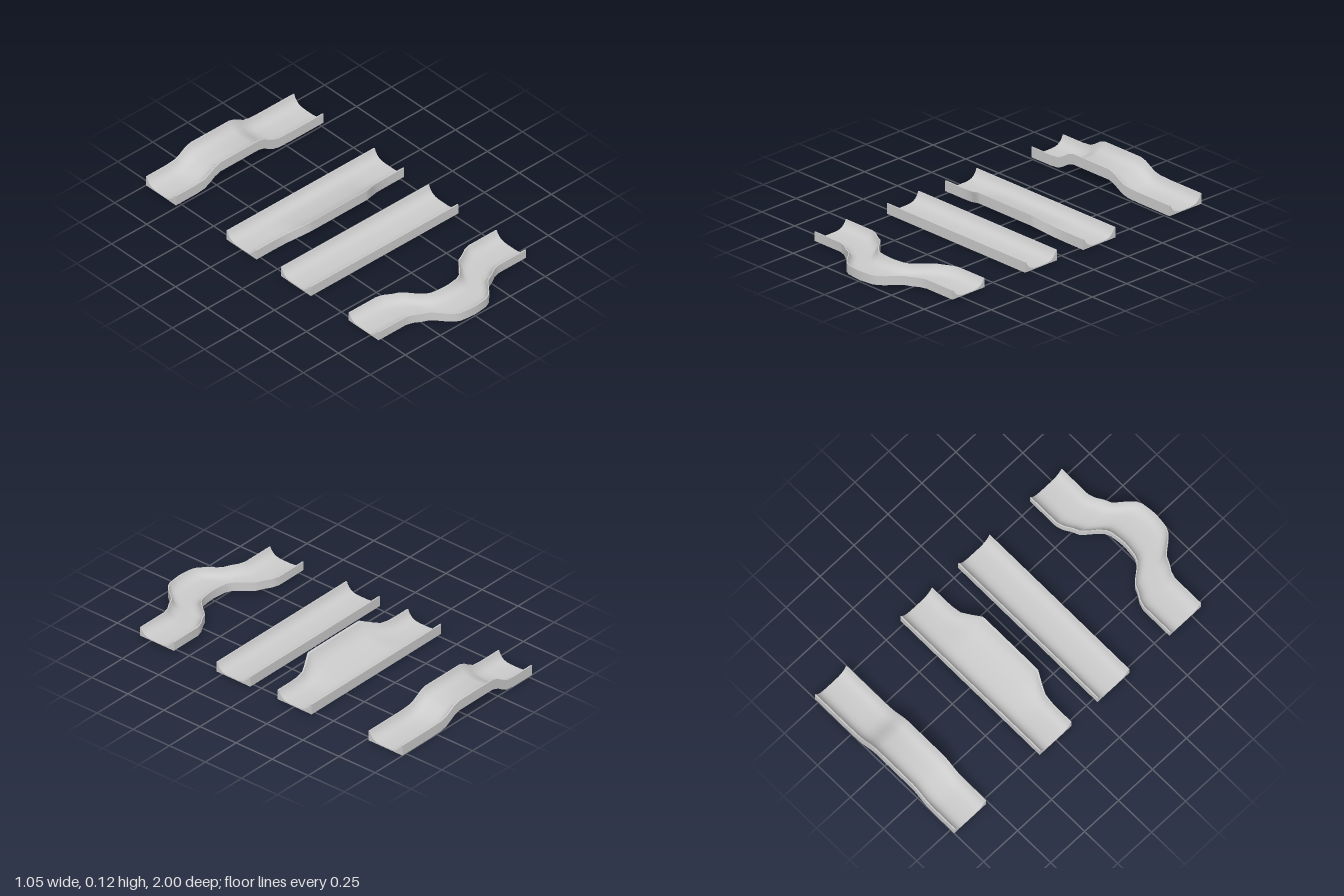
import * as THREE from 'three';
import { toCreasedNormals } from 'three/addons/utils/BufferGeometryUtils.js';

const HALF = 0.527, WIDTH = 0.235;

// trough cross-section from the back rim: distance from rim, height
const halfBowl = [[0, 0.06], [0.007, 0.06], [0.014, 0.043], [0.026, 0.027], [0.042, 0.015], [0.06, 0.009], [0.085, 0.006]];
const bowl = [...halfBowl, ...halfBowl.map(([u, y]) => [WIDTH - u, y]).reverse()];

// piecewise linear value through [x, value] keys
function along(keys, x) {
  if (x <= keys[0][0]) return keys[0][1];
  for (let i = 1; i < keys.length; i++) {
    const [x0, v0] = keys[i - 1], [x1, v1] = keys[i];
    if (x <= x1) return v0 + (v1 - v0) * (x - x0) / (x1 - x0);
  }
  return keys[keys.length - 1][1];
}

const mirrored = keys => [...keys, ...keys.filter(k => k[0] !== 0).map(([x, v]) => [-x, v]).reverse()];

// sweeps the bowl along x; bend(f, u, y, isBottom) returns [z, y]
function trough(name, backZ, keys, bend) {
  const stations = [-HALF, ...keys.map(k => k[0]), HALF];
  const n = bowl.length;
  const rings = stations.map(x => {
    const f = along(keys, x);
    const point = (u, y, isBottom) => {
      const [z, h] = bend(f, u, y, isBottom);
      return [x, h, backZ + z];
    };
    const top = bowl.map(([u, y]) => point(u, y, false));
    const bottom = bowl.map(([u]) => point(u, 0, true)).reverse();
    return [...top, ...bottom];
  });
  const pos = [];
  const quad = (a, b, c, d) => pos.push(...a, ...b, ...c, ...a, ...c, ...d);
  for (let s = 0; s + 1 < rings.length; s++) {
    const A = rings[s], B = rings[s + 1];
    for (let i = 0; i < 2 * n; i++) {
      const j = (i + 1) % (2 * n);
      quad(A[i], A[j], B[j], B[i]);
    }
  }
  // end caps
  const first = rings[0], last = rings[rings.length - 1];
  for (let i = 0; i + 1 < n; i++) {
    const k = 2 * n - 1 - i;
    quad(last[i], last[i + 1], last[k - 1], last[k]);
    quad(first[k], first[k - 1], first[i + 1], first[i]);
  }
  const geo = new THREE.BufferGeometry();
  geo.setAttribute('position', new THREE.Float32BufferAttribute(pos, 3));
  const mesh = new THREE.Mesh(
    toCreasedNormals(geo, 0.7),
    new THREE.MeshStandardMaterial({ color: 0xcccccc, side: THREE.DoubleSide })
  );
  mesh.name = name;
  return mesh;
}

export function createModel() {
  const group = new THREE.Group();
  group.name = 'troughTrackSet';

  // sideways swerve, slightly shallower than the others
  const swerve = mirrored([[-0.33, 0], [-0.29, 0.012], [-0.25, 0.037], [-0.21, 0.055], [-0.19, 0.075],
    [-0.15, 0.125], [-0.12, 0.154], [-0.09, 0.168], [-0.04, 0.175], [0, 0.178]]);
  group.add(trough('swervingTrough', 0.585, swerve,
    (f, u, y) => [u + f, 0.008 + y * 0.87]));

  // plain straight piece
  group.add(trough('straightTrough', 0.055, [[0, 0]], (f, u, y) => [u, y]));

  // front side lifted and pushed outwards into a bank
  const bank = mirrored([[-0.42, 0], [-0.37, 0.03], [-0.32, 0.13], [-0.265, 0.53], [-0.21, 0.98], [-0.19, 1]]);
  group.add(trough('bankedTrough', -0.37, bank, (f, u, y, isBottom) => {
    const s = f * Math.pow(u / WIDTH, isBottom ? 3 : 2);
    return [u + 0.065 * s, y + 0.053 * s];
  }));

  // raised hump, steeper on the left end
  const hump = [[-0.38, 0], [-0.32, 0.006], [-0.285, 0.024], [-0.25, 0.047], [-0.21, 0.061], [0.065, 0.061],
    [0.1, 0.051], [0.135, 0.031], [0.17, 0.012], [0.21, 0.003], [0.29, 0]];
  group.add(trough('humpedTrough', -1, hump, (f, u, y) => [u, y + f]));

  return group;
}
